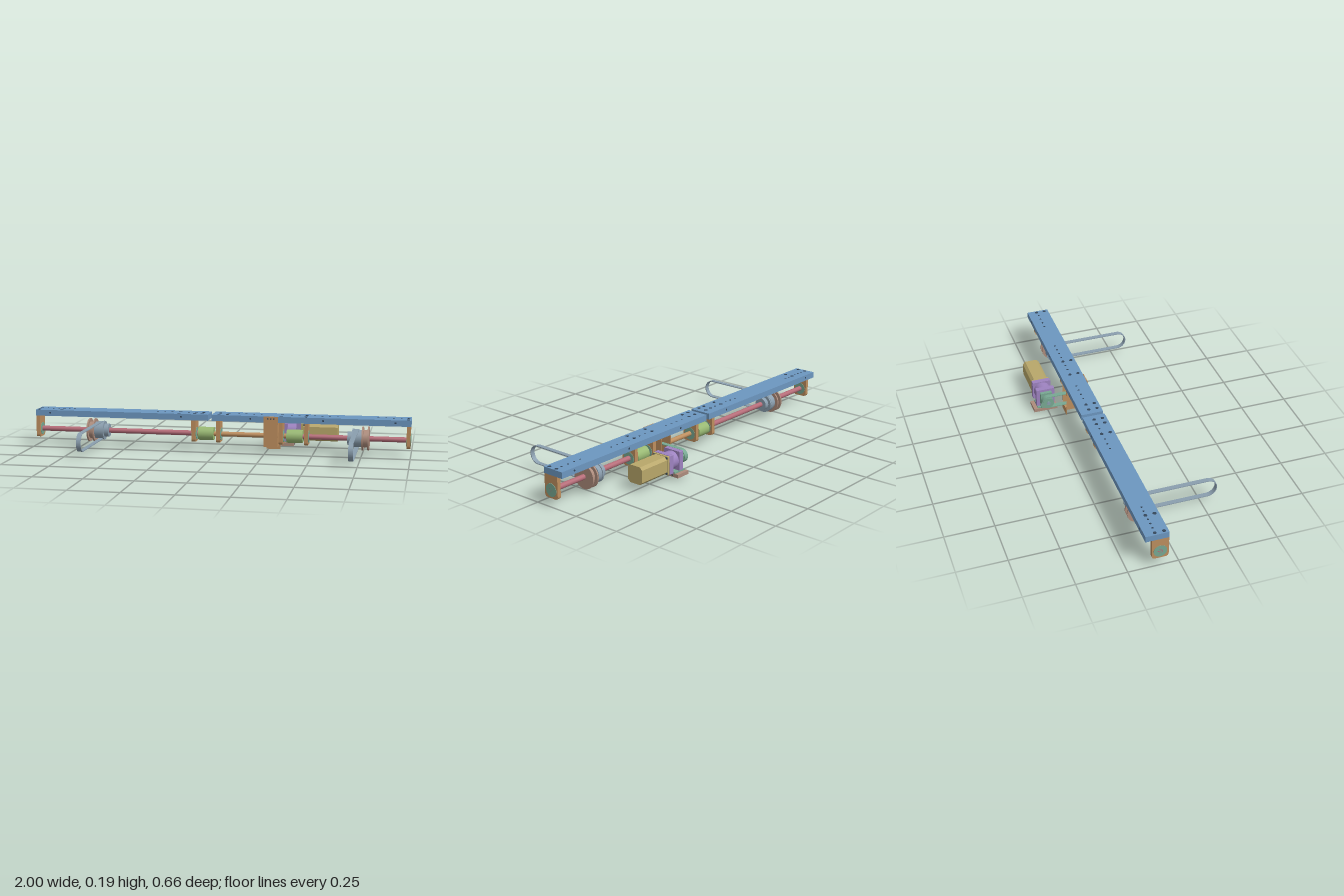
import * as THREE from 'three';

const mat = (name, color) => {
  const m = new THREE.MeshStandardMaterial({ color });
  m.name = name;
  return m;
};

export function createModel() {
  const root = new THREE.Group();
  root.name = 'driveShaftAssembly';
  const blue = mat('beamBlue', 0x6c96bf), tan = mat('bracketTan', 0xbd8e5e);
  const brown = mat('flangeBrown', 0xad8c7c), pink = mat('shaftPink', 0xb56c78);
  const teal = mat('bearingTeal', 0x78a892), olive = mat('motorOlive', 0xb8a76a);
  const purple = mat('gearboxPurple', 0x9d82bf), green = mat('couplingGreen', 0x98b872);
  const steel = mat('beltSteel', 0x8a9eae), dark = mat('holeDark', 0x34465a);

  const Y = 0.088, Z = -0.092;   // shaft axis
  const MZ = -0.259;             // motor axis

  const add = (name, geo, m, parent = root) => {
    const mesh = new THREE.Mesh(geo, m);
    mesh.name = name;
    parent.add(mesh);
    return mesh;
  };
  // box given by its limits
  const box = (name, m, x0, x1, y0, y1, z0, z1, parent) =>
    add(name, new THREE.BoxGeometry(x1 - x0, y1 - y0, z1 - z0)
      .translate((x0 + x1) / 2, (y0 + y1) / 2, (z0 + z1) / 2), m, parent);
  // cylinder along x
  const rod = (name, m, x0, x1, r, z = Z, y = Y, parent) =>
    add(name, new THREE.CylinderGeometry(r, r, Math.abs(x1 - x0), 36)
      .rotateZ(Math.PI / 2).translate((x0 + x1) / 2, y, z), m, parent);
  // profile drawn in (z, y) and extruded along x
  const slab = (name, m, shape, x0, x1, parent) =>
    add(name, new THREE.ExtrudeGeometry(shape, { depth: x1 - x0, bevelEnabled: false, curveSegments: 20 })
      .rotateY(-Math.PI / 2).translate(x1, 0, 0), m, parent);
  const stadium = (T, z0, z1, r) => {
    const s = new T();
    s.moveTo(z0, Y - r);
    s.lineTo(z1, Y - r);
    s.absarc(z1, Y, r, -Math.PI / 2, Math.PI / 2, false);
    s.lineTo(z0, Y + r);
    s.absarc(z0, Y, r, Math.PI / 2, Math.PI * 1.5, false);
    return s;
  };
  const belt = (name, m, z0, z1, r, t, x0, x1) => {
    const s = stadium(THREE.Shape, z0, z1, r);
    s.holes.push(stadium(THREE.Path, z0, z1, r - t));
    return slab(name, m, s, x0, x1);
  };

  // Two beams with a small gap between them
  box('leftBeam', blue, -1, -0.055, 0.163, 0.195, -0.167, -0.05);
  box('rightBeam', blue, -0.035, 1, 0.163, 0.195, -0.167, -0.05);

  // Bolt holes on top and on both long sides of the beams
  const holes = new THREE.Group();
  holes.name = 'boltHoles';
  root.add(holes);
  const topHole = (x, z, r) =>
    add('topHole', new THREE.CylinderGeometry(r, r, 0.001, 12).translate(x, 0.1955, z), dark, holes);
  for (const x of [-0.985, -0.86, -0.215, -0.13, -0.09, 0, 0.045, 0.33, 0.46, 0.985])
    for (const z of [-0.117, -0.072]) topHole(x, z, 0.009);
  for (const x of [-0.95, -0.92, -0.89, -0.83, -0.8, -0.34, -0.3, -0.26, -0.17, 0.1, 0.14, 0.18, 0.22,
    0.38, 0.42, 0.5, 0.54, 0.58, 0.62, 0.83, 0.87, 0.91, 0.95]) topHole(x, -0.115, 0.005);
  for (const x of [-0.92, -0.2, 0.17, 0.55, 0.92])
    for (const z of [-0.1675, -0.0495])
      add('sideHole', new THREE.CylinderGeometry(0.005, 0.005, 0.001, 12)
        .rotateX(Math.PI / 2).translate(x, 0.18, z), dark, holes);

  // Hanging bearing brackets with rounded lower corners
  const bracket = new THREE.Shape();
  bracket.moveTo(-0.133, 0.163);
  bracket.lineTo(-0.133, 0.065);
  bracket.quadraticCurveTo(-0.133, 0.047, -0.115, 0.047);
  bracket.lineTo(-0.068, 0.047);
  bracket.quadraticCurveTo(-0.05, 0.047, -0.05, 0.065);
  bracket.lineTo(-0.05, 0.163);
  for (const [a, b] of [[-0.998, -0.978], [-0.145, -0.123], [-0.013, 0.008], [0.32, 0.34], [0.453, 0.472], [0.978, 0.998]]) {
    slab('bearingBracket', tan, bracket, a, b);
    rod('bearing', teal, a - 0.002, b + 0.002, 0.033);
  }

  // Shafts and couplings
  rod('leftShaft', pink, -1, -0.1, 0.0135);
  rod('middleShaft', tan, -0.04, 0.37, 0.0125);
  rod('rightShaft', pink, 0.43, 1, 0.0135);
  rod('leftCoupling', green, -0.112, -0.03, 0.035);
  rod('rightCoupling', green, 0.358, 0.442, 0.035);

  // Mirrored drive pulleys with their long belts
  for (const fx of [x => x, x => 0.073 - x]) {
    const g = new THREE.Group();
    g.name = 'drivePulley';
    root.add(g);
    const part = (name, m, a, b, r) => rod(name, m, fx(a), fx(b), r, Z, Y, g);
    part('outerFlange', brown, -0.714, -0.706, 0.062);
    part('flangeCore', brown, -0.706, -0.684, 0.045);
    part('innerFlange', brown, -0.684, -0.676, 0.062);
    part('toothedWheel', steel, -0.676, -0.63, 0.0445);
    part('wheelRim', steel, -0.634, -0.626, 0.05);
    part('clampHub', steel, -0.63, -0.602, 0.035);
    const [a, b] = [fx(-0.661), fx(-0.637)].sort((p, q) => p - q);
    belt('longBelt', steel, Z, 0.28, 0.0485, 0.004, a, b);
  }

  // Belt housing around the middle shaft
  const housing = new THREE.Group();
  housing.name = 'beltHousing';
  root.add(housing);
  box('frontPlate', tan, 0.24, 0.315, 0.035, 0.195, -0.0495, -0.0455, housing);
  for (const x of [0.24, 0.311]) box('sidePlate', tan, x, x + 0.004, 0.035, 0.16, -0.165, -0.05, housing);
  box('bottomPlate', tan, 0.24, 0.315, 0.035, 0.039, -0.165, -0.05, housing);
  box('rearFlange', tan, 0.24, 0.315, 0.003, 0.039, -0.1675, -0.1645, housing);
  for (const x of [0.262, 0.278, 0.294]) {
    for (const [y, z] of [[0.183, -0.045], [0.017, -0.164]])
      add('plateHole', new THREE.CylinderGeometry(0.004, 0.004, 0.001, 12)
        .rotateX(Math.PI / 2).translate(x, y, z), dark, housing);
  }

  // Short motor belt and its two wheels
  belt('motorBelt', teal, MZ, Z, 0.035, 0.004, 0.264, 0.288);
  rod('shaftWheel', teal, 0.262, 0.29, 0.031);
  rod('motorWheel', teal, 0.26, 0.294, 0.031, MZ);
  rod('motorAxle', steel, 0.255, 0.33, 0.01, MZ);

  // Motor, gearbox and mounting plate
  const octagon = (h, c) => new THREE.Shape([[c - h, -h], [h - c, -h], [h, c - h], [h, h - c],
    [h - c, h], [c - h, h], [-h, h - c], [-h, c - h]].map(([z, y]) => new THREE.Vector2(MZ + z, Y + y)));
  slab('motorBody', olive, octagon(0.045, 0.014), 0.43, 0.612);
  slab('motorFlange', olive, octagon(0.0475, 0.002), 0.418, 0.43);
  slab('gearboxFront', purple, octagon(0.0495, 0.002), 0.318, 0.345);
  rod('gearboxBarrel', purple, 0.345, 0.4, 0.045, MZ);
  slab('gearboxRear', purple, octagon(0.0495, 0.002), 0.392, 0.418);
  for (const z of [-0.039, 0.039])
    for (const y of [-0.039, 0.039]) rod('motorScrew', dark, 0.428, 0.434, 0.006, MZ + z, Y + y);
  box('mountSpacer', teal, 0.305, 0.378, 0.033, 0.04, -0.308, -0.21);
  box('mountPlate', brown, 0.3, 0.38, 0.015, 0.033, -0.328, -0.2);
  box('mountUpright', teal, 0.3, 0.318, 0.033, 0.125, -0.29, -0.228);
  for (const z of [-0.225, -0.292]) rod('mountBolt', dark, 0.38, 0.381, 0.004, z, 0.024);

  return root;
}
